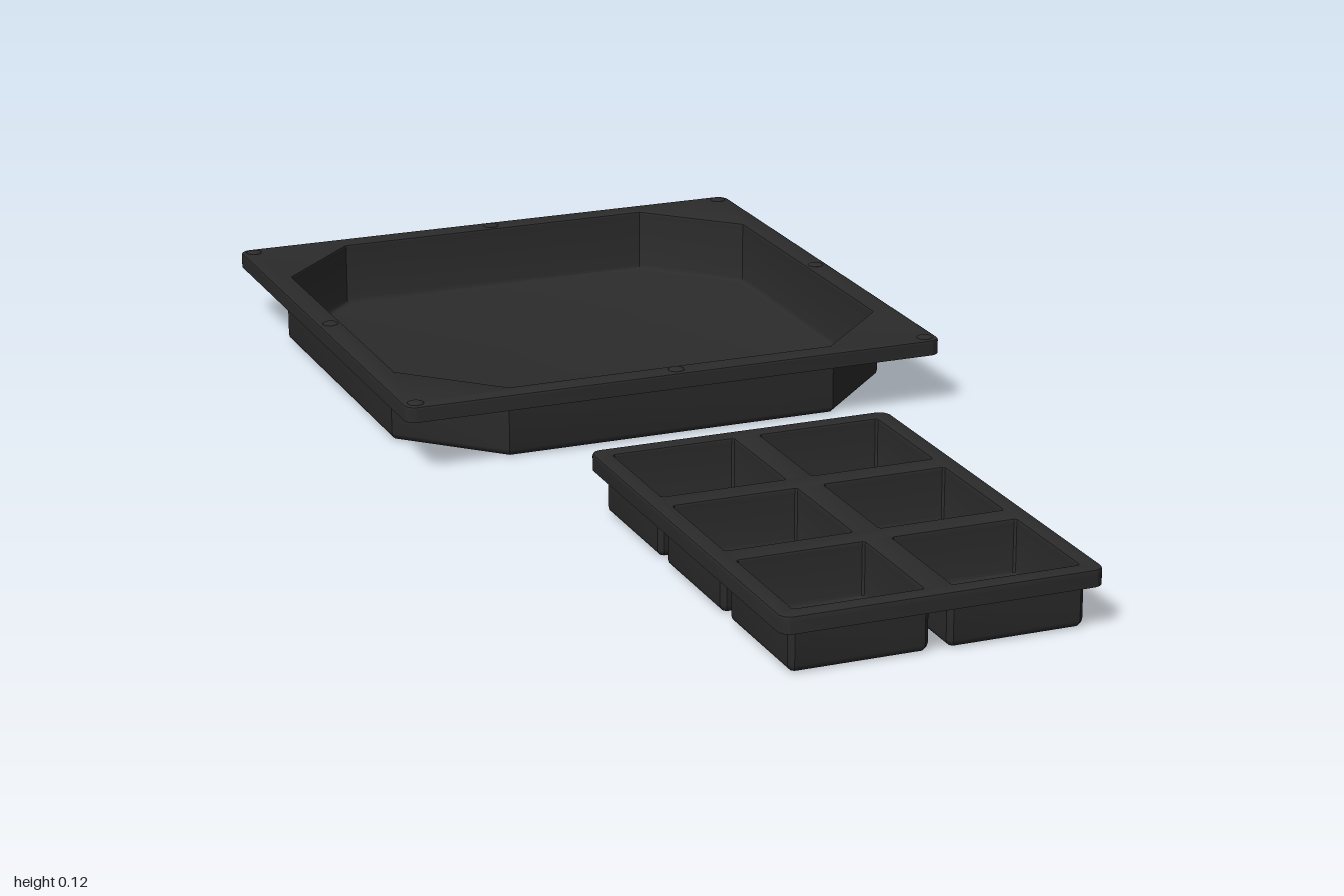
import * as THREE from 'three';
import { toCreasedNormals } from 'three/addons/utils/BufferGeometryUtils.js';

const plastic = new THREE.MeshStandardMaterial({ color: 0x2b2b2b });
plastic.name = 'black plastic';

const WALL = 0.008;

// Corners of a rectangle with chamfered corners, as [x, z], shrunk by an inset.
function chamferedRect(w, d, chamfer, inset = 0) {
  const x = w / 2 - inset, z = d / 2 - inset;
  const c = Math.max(chamfer - inset * (2 - Math.SQRT2), 0.002);
  return [
    [x, -z + c], [x, z - c], [x - c, z], [-x + c, z],
    [-x, z - c], [-x, -z + c], [-x + c, -z], [x - c, -z],
  ];
}

function roundedRect(w, d, r) {
  const x = w / 2, y = d / 2, s = new THREE.Shape();
  s.absarc(x - r, y - r, r, 0, Math.PI / 2);
  s.absarc(-x + r, y - r, r, Math.PI / 2, Math.PI);
  s.absarc(-x + r, -y + r, r, Math.PI, Math.PI * 1.5);
  s.absarc(x - r, -y + r, r, Math.PI * 1.5, Math.PI * 2);
  s.closePath();
  return s;
}

// Open pocket with thin walls: down the outside, under the base, up the inside.
function pocketGeometry(w, d, chamfer, top) {
  const profile = [[0, top]];
  const fillet = (inset, y, r, inside) => {
    for (let k = 0; k <= 3; k++) {
      const a = (inside ? 3 - k : k) / 3 * Math.PI / 2;
      profile.push([inset + r * (1 - Math.cos(a)), y + r * (1 - Math.sin(a))]);
    }
  };
  fillet(0, 0, 0.012, false);
  profile.push([null, 0], [null, WALL]);
  fillet(WALL, WALL, 0.008, true);
  profile.push([WALL, top]);

  const loops = profile.map(([inset, y]) =>
    chamferedRect(w, d, chamfer, inset ?? 0)
      .map(([x, z]) => inset === null ? [0, y, 0] : [x, y, z]));
  const pos = [];
  for (let j = 0; j < loops.length - 1; j++) {
    if (profile[j][0] === null && profile[j + 1][0] === null) continue;
    for (let i = 0; i < 8; i++) {
      const n = (i + 1) % 8, a = loops[j], b = loops[j + 1];
      if (profile[j][0] !== null) pos.push(...a[i], ...a[n], ...b[i]);
      if (profile[j + 1][0] !== null) pos.push(...a[n], ...b[n], ...b[i]);
    }
  }
  const g = new THREE.BufferGeometry();
  g.setAttribute('position', new THREE.Float32BufferAttribute(pos, 3));
  return toCreasedNormals(g, 0.6);
}

// Extrudes a flat outline upwards from y0 to y1, with optional softened edges.
function slab(shape, y0, y1, bevel = 0) {
  const g = new THREE.ExtrudeGeometry(shape, {
    depth: y1 - y0 - 2 * bevel, curveSegments: 6, bevelEnabled: bevel > 0,
    bevelThickness: bevel, bevelSize: bevel, bevelOffset: -bevel, bevelSegments: 2,
  });
  g.rotateX(-Math.PI / 2).translate(0, y0 + bevel, 0);
  return toCreasedNormals(g, 0.6);
}

function add(group, name, geometry, x = 0, y = 0, z = 0) {
  const mesh = new THREE.Mesh(geometry, plastic);
  mesh.name = name;
  mesh.position.set(x, y, z);
  group.add(mesh);
  return mesh;
}

// Tray: a rim plate with a hanging skirt and one pocket per centre.
function makeTray({ name, width, depth, top, rimHeight, pocket, chamfer, centres }) {
  const tray = new THREE.Group();
  tray.name = name;

  const plate = roundedRect(width, depth, 0.02);
  for (const [cx, cz] of centres) {
    const pts = chamferedRect(pocket[0], pocket[1], chamfer, WALL)
      .map(([x, z]) => new THREE.Vector2(cx + x, -cz - z));
    plate.holes.push(new THREE.Path(pts));
  }
  add(tray, 'rimPlate', slab(plate, top - 0.012, top, 0.004));

  const skirt = roundedRect(width, depth, 0.02);
  skirt.holes.push(roundedRect(width - 2 * WALL, depth - 2 * WALL, 0.013));
  add(tray, 'rimSkirt', slab(skirt, top - rimHeight, top - 0.004));

  const geometry = pocketGeometry(pocket[0], pocket[1], chamfer, top - 0.004);
  for (const [cx, cz] of centres) add(tray, 'pocket', geometry, cx, 0, cz);
  return tray;
}

export function createModel() {
  const model = new THREE.Group();
  model.name = 'trays';

  // Large drip tray with an octagonal basin
  const large = makeTray({
    name: 'largeTray', width: 0.97, depth: 0.97, top: 0.121, rimHeight: 0.027,
    pocket: [0.902, 0.902], chamfer: 0.155, centres: [[0, 0]],
  });
  large.position.z = -0.515;

  // Low stacking nubs at the corners and the middle of each side
  const nub = new THREE.SphereGeometry(0.014, 12, 8).scale(1, 0.25, 1);
  for (const i of [-1, 0, 1]) for (const j of [-1, 0, 1]) {
    if (i || j) add(large, 'rimNub', nub, i * 0.463, 0.121, j * 0.463);
  }
  model.add(large);

  // Small seed tray with six square cells
  const centres = [];
  for (const x of [-0.128, 0.128]) for (const z of [-0.254, 0, 0.254]) centres.push([x, z]);
  const small = makeTray({
    name: 'cellTray', width: 0.526, depth: 0.78, top: 0.1, rimHeight: 0.028,
    pocket: [0.226, 0.226], chamfer: 0.008, centres,
  });
  small.position.z = 0.61;
  model.add(small);

  return model;
}
